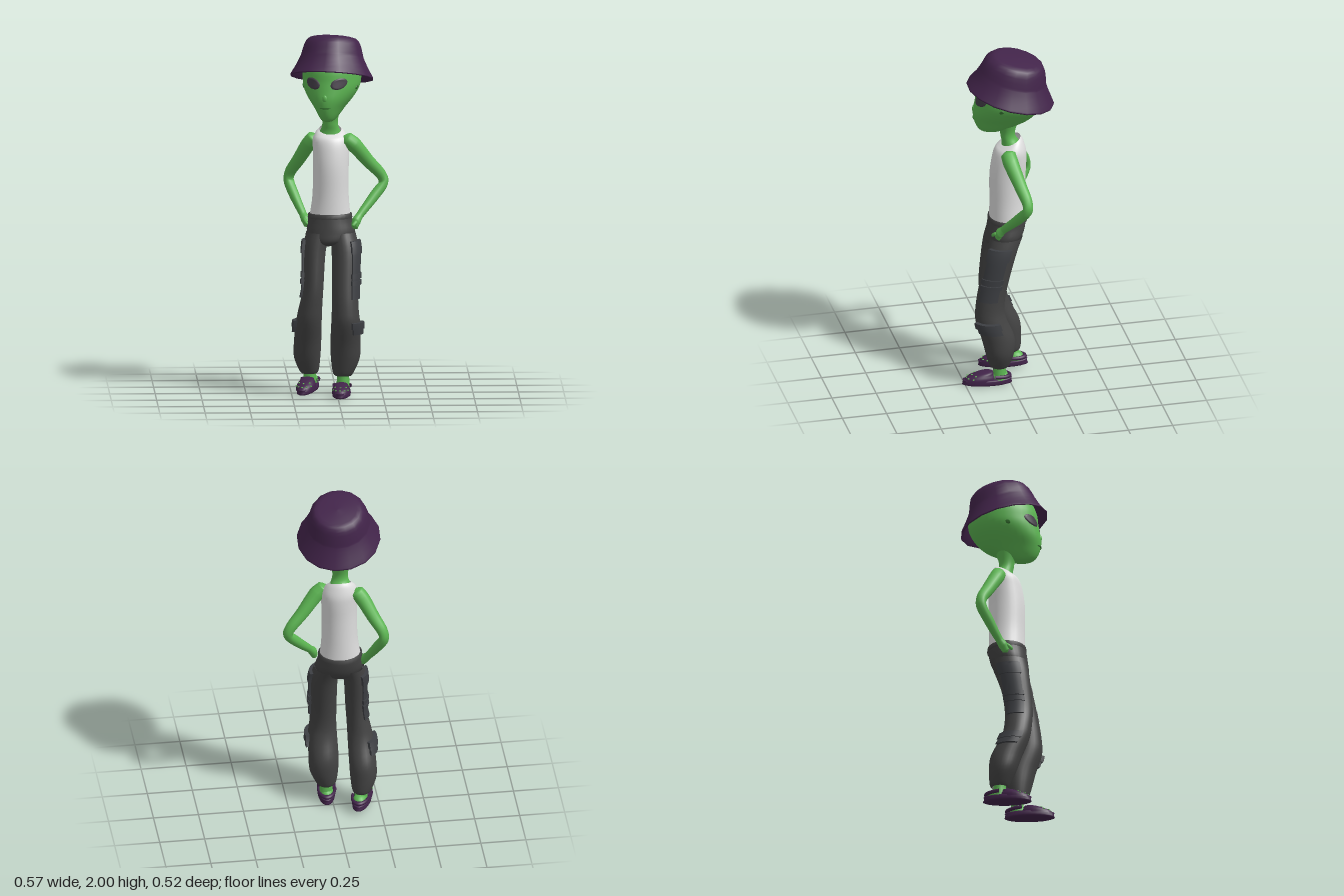
import * as THREE from 'three';
import { mergeVertices, toCreasedNormals } from 'three/addons/utils/BufferGeometryUtils.js';

const mat = (name, color, side = THREE.FrontSide) => {
  const m = new THREE.MeshStandardMaterial({ color, side });
  m.name = name;
  return m;
};
const rad = THREE.MathUtils.degToRad;

// Surface grid from a rule f(u, v); v wraps around when closed
function grid(nu, nv, f, closed) {
  const pos = [], idx = [], w = closed ? nv : nv + 1;
  for (let i = 0; i <= nu; i++)
    for (let j = 0; j < w; j++) pos.push(...f(i / nu, j / nv, i, j).toArray());
  for (let i = 0; i < nu; i++)
    for (let j = 0; j < nv; j++) {
      const k = (j + 1) % w, a = i * w + j, b = i * w + k, c = a + w, d = b + w;
      idx.push(a, c, b, b, c, d);
    }
  const g = new THREE.BufferGeometry();
  g.setAttribute('position', new THREE.Float32BufferAttribute(pos, 3));
  g.setIndex(idx);
  g.computeVertexNormals();
  return g;
}

// Cross-section rows: [y, centre x, centre z, radius x, radius z, tilt]
function surfacePoint(rows, u, a, off = 0) {
  const i = Math.min(Math.floor(u), rows.length - 2), t = u - i;
  const at = (k, c) => rows[Math.max(0, Math.min(rows.length - 1, k))][c] || 0;
  const v = [0, 1, 2, 3, 4, 5].map(c => {
    const p = at(i, c), q = at(i + 1, c);
    const m = (q - at(i - 1, c)) / 2, n = (at(i + 2, c) - p) / 2;
    const t2 = t * t, t3 = t2 * t;
    return (2 * t3 - 3 * t2 + 1) * p + (t3 - 2 * t2 + t) * m + (3 * t2 - 2 * t3) * q + (t3 - t2) * n;
  });
  return new THREE.Vector3(v[1] + (Math.max(v[3], 0) + off) * Math.cos(a),
    v[0] + v[5] * Math.sin(a), v[2] + (Math.max(v[4], 0) + off) * Math.sin(a));
}
function rowAt(rows, y) {
  let i = 0;
  while (i < rows.length - 2 && rows[i + 1][0] < y) i++;
  return i + Math.max(0, Math.min(1, (y - rows[i][0]) / (rows[i + 1][0] - rows[i][0])));
}
const loft = (rows, sides = 28, steps = 4) => grid((rows.length - 1) * steps, sides,
  (u, v) => surfacePoint(rows, u * (rows.length - 1), v * Math.PI * 2), true);

// Raised rectangular patch that follows a lofted surface
function raisedPatch(rows, y0, y1, a0, a1, off) {
  const n = 10, s = k => Math.max(0, Math.min(1, (k - 1) / (n - 2)));
  const g = grid(n, n, (u, v, i, j) => {
    const edge = i === 0 || j === 0 || i === n || j === n;
    const y = y0 + (y1 - y0) * s(i), a = a0 + (a1 - a0) * s(j);
    return surfacePoint(rows, rowAt(rows, y), a, edge ? -0.01 : off);
  }, false);
  return toCreasedNormals(g, 0.6);
}
// Thin oval plate that follows a lofted surface
const ovalPatch = (rows, y, a, dy, da, slant = 0, off = 0.004) => grid(6, 24, (r, v) => {
  const s = Math.sin(v * Math.PI * 2), c = Math.cos(v * Math.PI * 2);
  return surfacePoint(rows, rowAt(rows, y + r * (dy * c + slant * s)), a + r * da * s,
    r > 0.99 ? -0.002 : off);
}, true);

// Tapered limb along a curve; each point is [x, y, z, radius]
function limb(points) {
  const curve = new THREE.CatmullRomCurve3(points.map(p => new THREE.Vector3(...p)));
  const n = points.length - 1, steps = n * 6, sides = 14;
  curve.getPointAt = t => curve.getPoint(t);
  let g = new THREE.TubeGeometry(curve, steps, 1, sides, false);
  const p = g.attributes.position, v = new THREE.Vector3();
  for (let i = 0; i <= steps; i++) {
    const c = curve.getPoint(i / steps), k = Math.min(n - 1, Math.floor(i / 6));
    const r = THREE.MathUtils.lerp(points[k][3], points[k + 1][3], i / 6 - k);
    for (let j = 0; j <= sides; j++) {
      const q = i * (sides + 1) + j;
      v.fromBufferAttribute(p, q).sub(c).multiplyScalar(r).add(c);
      p.setXYZ(q, v.x, v.y, v.z);
    }
  }
  g.deleteAttribute('uv');
  g.deleteAttribute('normal');
  g = mergeVertices(g, 1e-5);
  g.computeVertexNormals();
  return g;
}

export function createModel() {
  const root = new THREE.Group();
  root.name = 'figure';
  const skin = mat('green skin', 0x5cb552), darkSkin = mat('dark green', 0x34702f);
  const purple = mat('purple', 0x42244a, THREE.DoubleSide), white = mat('white cloth', 0xdedede, THREE.DoubleSide);
  const grey = mat('trouser grey', 0x434343, THREE.DoubleSide), pocketGrey = mat('pocket grey', 0x3d3f43);
  const eyeGrey = mat('eye grey', 0x453f49);
  const add = (parent, name, geo, m) => {
    const mesh = new THREE.Mesh(geo, m);
    mesh.name = name;
    parent.add(mesh);
    return mesh;
  };

  // Head, turned a little to its right
  const head = new THREE.Group();
  head.name = 'head';
  head.position.set(-0.03, 0, 0);
  head.rotation.y = rad(-13);
  root.add(head);
  const skull = [[1.518, 0, 0.09, 0.001, 0.001], [1.53, 0, 0.09, 0.032, 0.055], [1.555, 0, 0.07, 0.054, 0.1],
    [1.6, 0, 0.035, 0.084, 0.152], [1.65, 0, 0.012, 0.122, 0.18], [1.7, 0, -0.008, 0.15, 0.192],
    [1.75, 0, -0.02, 0.16, 0.195], [1.82, 0, -0.022, 0.156, 0.186], [1.9, 0, -0.025, 0.12, 0.14],
    [1.94, 0, -0.03, 0.001, 0.001]];
  add(head, 'skull', loft(skull, 36), skin);
  for (const s of [-1, 1]) {
    add(head, 'eye', ovalPatch(skull, 1.742, rad(90 - s * 28), 0.033, rad(18), -s * 0.007), eyeGrey);
    add(head, 'earHole', ovalPatch(skull, 1.71, rad(90 - s * 77), 0.012, rad(4)), darkSkin);
  }
  add(head, 'mouth', ovalPatch(skull, 1.607, rad(90), 0.004, rad(22)), darkSkin);
  const nose = add(head, 'nose', new THREE.SphereGeometry(0.016, 14, 10), skin);
  nose.position.set(0, 1.66, 0.186);
  nose.scale.set(0.9, 1.3, 0.6);

  // Bucket hat: lining, brim and crown in one skin
  const hat = add(head, 'bucketHat', loft([[0.1, 0, 0.01, 0.168, 0.18], [0.05, 0, 0.005, 0.19, 0.205],
    [-0.004, 0, 0, 0.224, 0.243], [0, 0, 0, 0.23, 0.248], [0.006, 0, 0, 0.228, 0.246],
    [0.055, 0, 0.006, 0.2, 0.216], [0.1, 0, 0.014, 0.178, 0.194], [0.115, 0, 0.015, 0.173, 0.189],
    [0.17, 0, 0.018, 0.158, 0.172], [0.203, 0, 0.014, 0.138, 0.148], [0.217, 0, 0.01, 0.105, 0.112],
    [0.226, 0, 0, 0.001, 0.001]], 16, 2), purple);
  hat.position.set(0, 1.757, -0.015);
  hat.rotation.x = rad(-15);

  // Neck and vest
  add(root, 'neck', loft([[1.41, -0.035, -0.02, 0.075, 0.055], [1.455, -0.035, -0.017, 0.057, 0.048],
    [1.49, -0.036, -0.004, 0.044, 0.041], [1.53, -0.037, 0, 0.045, 0.045], [1.59, -0.035, 0.005, 0.06, 0.07]]), skin);
  add(root, 'vest', loft([[0.985, -0.037, 0, 0.113, 0.1], [1.1, -0.034, 0, 0.1, 0.099], [1.25, -0.032, 0, 0.098, 0.1],
    [1.35, -0.031, -0.008, 0.1, 0.096], [1.41, -0.033, -0.016, 0.099, 0.086],
    [1.448, -0.035, -0.02, 0.08, 0.066, -0.016], [1.464, -0.035, -0.02, 0.061, 0.052, -0.024]]), white);

  // Arms, hands resting on the hips
  add(root, 'leftArm', limb([[0.03, 1.425, 0.015, 0.006], [0.05, 1.415, 0.015, 0.042], [0.09, 1.385, 0.01, 0.044],
    [0.175, 1.285, -0.022, 0.036], [0.25, 1.2, -0.048, 0.03], [0.258, 1.165, -0.045, 0.03], [0.2, 1.085, -0.005, 0.028],
    [0.125, 0.995, 0.055, 0.021], [0.105, 0.965, 0.075, 0.026], [0.095, 0.935, 0.085, 0.02], [0.092, 0.922, 0.088, 0.002]]), skin);
  add(root, 'rightArm', limb([[-0.1, 1.425, -0.045, 0.006], [-0.12, 1.415, -0.05, 0.042], [-0.15, 1.38, -0.065, 0.042],
    [-0.205, 1.285, -0.112, 0.036], [-0.255, 1.2, -0.152, 0.03], [-0.258, 1.16, -0.152, 0.03], [-0.23, 1.085, -0.11, 0.028],
    [-0.185, 0.99, -0.05, 0.021], [-0.172, 0.965, -0.03, 0.026], [-0.162, 0.935, -0.012, 0.02], [-0.16, 0.922, -0.005, 0.002]]), skin);
  add(root, 'leftThumb', limb([[0.11, 0.975, 0.07, 0.004], [0.1, 0.96, 0.1, 0.011], [0.085, 0.945, 0.112, 0.009], [0.08, 0.94, 0.114, 0.001]]), skin);
  add(root, 'rightThumb', limb([[-0.175, 0.975, -0.03, 0.004], [-0.175, 0.96, 0.0, 0.011], [-0.165, 0.945, 0.02, 0.009], [-0.16, 0.94, 0.024, 0.001]]), skin);

  // Cargo trousers: hips, waistband, legs
  add(root, 'hips', loft([[0.825, -0.05, 0.035, 0.015, 0.04], [0.85, -0.04, 0.035, 0.1, 0.084], [0.9, -0.033, 0.018, 0.132, 0.1],
    [0.96, -0.036, 0.005, 0.123, 0.105], [1, -0.037, 0, 0.117, 0.104]]), grey);
  add(root, 'waistband', loft([[0.975, -0.037, 0, 0.119, 0.104], [0.978, -0.037, 0, 0.123, 0.109],
    [1.0, -0.037, 0, 0.121, 0.107], [1.003, -0.037, 0, 0.112, 0.099]], 28, 1), grey);
  const legs = {
    left: [[0.105, 0.033, 0.06, 0.044, 0.046], [0.125, 0.034, 0.061, 0.058, 0.06], [0.2, 0.045, 0.062, 0.079, 0.08],
      [0.29, 0.046, 0.072, 0.083, 0.092], [0.4, 0.046, 0.11, 0.08, 0.087], [0.48, 0.043, 0.117, 0.074, 0.08],
      [0.6, 0.042, 0.1, 0.072, 0.08], [0.8, 0.045, 0.055, 0.075, 0.085], [0.9, 0.03, 0.02, 0.072, 0.09]],
    right: [[0.105, -0.15, -0.045, 0.042, 0.044], [0.125, -0.152, -0.045, 0.055, 0.056], [0.2, -0.162, -0.03, 0.073, 0.075],
      [0.29, -0.16, -0.01, 0.075, 0.086], [0.4, -0.155, 0.037, 0.071, 0.08], [0.48, -0.147, 0.055, 0.065, 0.076],
      [0.6, -0.131, 0.06, 0.056, 0.078], [0.8, -0.122, 0.035, 0.061, 0.085], [0.9, -0.1, 0.015, 0.07, 0.09]],
  };
  // Pocket pieces: [name, bottom, top, half angle, thickness]
  const pockets = [['thighPocket', 0.55, 0.84, 37, 0.011], ['thighFlap', 0.785, 0.845, 41, 0.018],
    ['upperStrap', 0.658, 0.682, 40, 0.018], ['lowerStrap', 0.622, 0.646, 40, 0.018],
    ['calfPocket', 0.345, 0.38, 40, 0.017], ['calfFlap', 0.375, 0.412, 44, 0.023]];
  for (const [side, rows] of Object.entries(legs)) {
    add(root, side + 'Leg', loft(rows), grey);
    const c = side === 'left' ? 25 : 200;
    for (const [name, y0, y1, h, off] of pockets)
      add(root, side + name, raisedPatch(rows, y0, y1, rad(c - h), rad(c + h), off), pocketGrey);
  }

  // Feet in clogs with a heel strap and vent holes
  const sole = [[0, 0, 0, 0.001, 0.001], [0.001, 0, 0, 0.042, 0.128], [0.012, 0, 0, 0.05, 0.135],
    [0.028, 0, 0, 0.049, 0.134], [0.034, 0, 0, 0.042, 0.126], [0.03, 0, 0, 0.001, 0.001]];
  const upper = [[0.022, 0, 0.038, 0.051, 0.094], [0.042, 0, 0.034, 0.05, 0.084], [0.058, 0, 0.022, 0.042, 0.062],
    [0.072, 0, 0.002, 0.03, 0.035], [0.077, 0, -0.008, 0.001, 0.001]];
  for (const [side, x, y, z, yaw, pitch, ax, az] of [['left', 0.022, 0, 0.128, -6, 0, 0.033, 0.06],
    ['right', -0.158, 0.012, -0.005, -18, 5, -0.147, -0.045]]) {
    const foot = new THREE.Group();
    foot.name = side + 'Foot';
    foot.position.set(x, y, z);
    foot.rotation.set(rad(pitch), rad(yaw), 0, 'YXZ');
    root.add(foot);
    add(foot, 'clogSole', loft(sole, 28, 2), purple);
    add(foot, 'clogUpper', loft(upper, 24, 3), purple);
    const heel = add(foot, 'heel', new THREE.SphereGeometry(0.04, 18, 12), skin);
    heel.position.set(0, 0.045, -0.07);
    heel.scale.set(0.95, 0.9, 1.2);
    const strap = add(foot, 'heelStrap', new THREE.TorusGeometry(0.046, 0.008, 8, 24, Math.PI), purple);
    strap.position.set(0, 0.055, -0.04);
    strap.rotation.x = rad(-96);
    strap.scale.set(1, 1.8, 1.4);
    for (const [hy, angles] of [[0.044, [35, 62, 90, 118, 145]], [0.058, [45, 90, 135]]])
      for (const a of angles) {
        const hole = add(foot, 'ventHole', new THREE.SphereGeometry(0.006, 8, 6), skin);
        hole.position.copy(surfacePoint(upper, rowAt(upper, hy), rad(a)));
        hole.scale.y = 0.6;
      }
    add(root, side + 'Ankle', limb([[ax, 0.16, az, 0.036], [ax, 0.1, az, 0.034], [ax, 0.03, az, 0.038]]), skin);
  }
  return root;
}
